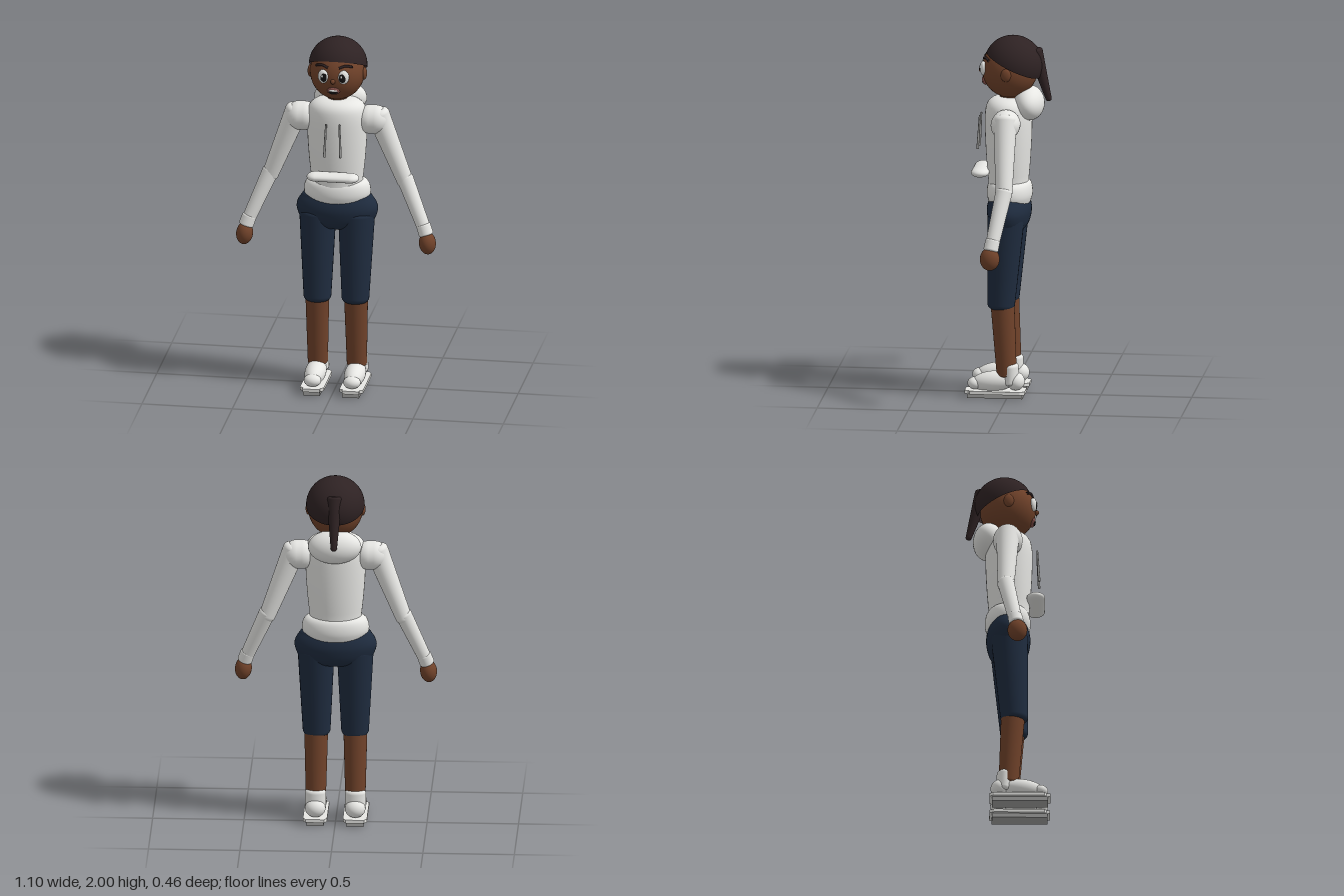
import * as THREE from 'three';

const mat = (name, color) => {
  const m = new THREE.MeshStandardMaterial({ color });
  m.name = name;
  return m;
};

export function createModel() {
  const white = mat('white cloth', 0xe6e6e3);
  const skin = mat('brown skin', 0x70422a);
  const hair = mat('dark hair', 0x2e2223);
  const navy = mat('navy cloth', 0x1f2c3f);
  const grey = mat('sole grey', 0xa2a2a0);
  const black = mat('eye black', 0x141212);
  const lip = mat('lip brown', 0x85504a);

  const model = new THREE.Group();
  model.name = 'figure';

  const add = (name, geo, material, pos = [0, 0, 0], scale = [1, 1, 1], rot = [0, 0, 0], parent = model) => {
    const m = new THREE.Mesh(geo, material);
    m.name = name;
    m.position.set(...pos);
    m.scale.set(...scale);
    m.rotation.set(...rot);
    parent.add(m);
    return m;
  };
  const ball = new THREE.SphereGeometry(1, 32, 22);
  const ellipsoid = (name, material, pos, radii, rot, parent) => add(name, ball, material, pos, radii, rot, parent);

  // Smooth turned body: profile of [radius, y], closed at both ends
  const turned = (name, material, profile, z, depth) => {
    const curve = new THREE.SplineCurve(profile.map(p => new THREE.Vector2(...p)));
    const pts = curve.getPoints(28).map(p => new THREE.Vector2(Math.max(p.x, 0), p.y));
    add(name, new THREE.LatheGeometry(pts, 40), material, [0, 0, z], [1, 1, depth]);
  };

  // Tapered limb from a to b with rounded ends of depth e
  const limb = (name, material, a, b, r0, r1, e, parent) => {
    const from = new THREE.Vector3(...a), dir = new THREE.Vector3(...b).sub(from);
    const len = dir.length(), pts = [], steps = 6;
    for (let i = 0; i <= steps; i++) {
      const t = i / steps * Math.PI / 2;
      pts.push(new THREE.Vector2((r0 - e) * Math.min(1, i) + e * Math.sin(t), e * (1 - Math.cos(t))));
    }
    for (let i = 0; i <= steps; i++) {
      const t = i / steps * Math.PI / 2;
      pts.push(new THREE.Vector2((r1 - e) * (i < steps ? 1 : 0.9) + e * Math.cos(t), len - e * (1 - Math.sin(t))));
    }
    pts.push(new THREE.Vector2(0, len));
    const m = add(name, new THREE.LatheGeometry(pts, 28), material, a, [1, 1, 1], [0, 0, 0], parent);
    m.quaternion.setFromUnitVectors(new THREE.Vector3(0, 1, 0), dir.normalize());
    return m;
  };

  // Head, neck and hair
  limb('neck', skin, [0, 1.58, 0], [0, 1.72, 0], 0.055, 0.055, 0.01);
  ellipsoid('head', skin, [0, 1.815, 0], [0.15, 0.157, 0.153]);
  const cap = new THREE.SphereGeometry(1, 40, 18, 0, Math.PI * 2, 0, Math.PI * 0.51);
  hair.side = THREE.DoubleSide;
  add('hairCap', cap, hair, [0, 1.845, -0.022], [0.16, 0.155, 0.162], [-0.44, 0, 0]);
  limb('ponytail', hair, [0, 1.93, -0.135], [0, 1.64, -0.217], 0.042, 0.017, 0.015);

  // Face
  ellipsoid('nose', skin, [0, 1.805, 0.158], [0.013, 0.014, 0.013]);
  ellipsoid('lips', lip, [0, 1.745, 0.138], [0.036, 0.024, 0.012], [0.4, 0, 0]);
  ellipsoid('mouthOpening', black, [0, 1.741, 0.142], [0.027, 0.014, 0.01], [0.4, 0, 0]);
  ellipsoid('teeth', white, [0, 1.75, 0.145], [0.026, 0.009, 0.009], [0.4, 0, 0]);
  for (const s of [1, -1]) {
    const side = s > 0 ? 'left' : 'right';
    ellipsoid(side + 'Ear', skin, [s * 0.148, 1.81, 0.005], [0.016, 0.036, 0.028]);
    ellipsoid(side + 'Eye', white, [s * 0.057, 1.828, 0.14], [0.03, 0.039, 0.018], [0, s * 0.3, 0]);
    ellipsoid(side + 'Iris', black, [s * 0.053, 1.826, 0.154], [0.02, 0.025, 0.006], [0, s * 0.2, 0]);
    ellipsoid(side + 'EyeGlint', white, [s * 0.053 - 0.006, 1.834, 0.159], [0.006, 0.007, 0.003]);
    const brow = new THREE.CatmullRomCurve3([
      new THREE.Vector3(s * 0.03, 1.878, 0.139),
      new THREE.Vector3(s * 0.065, 1.889, 0.126),
      new THREE.Vector3(s * 0.1, 1.878, 0.104)]);
    add(side + 'Brow', new THREE.TubeGeometry(brow, 10, 0.007, 8), hair);
  }

  // Hoodie
  turned('hoodieBody', white, [[0, 1.1], [0.13, 1.11], [0.142, 1.2], [0.155, 1.32], [0.164, 1.46],
    [0.164, 1.57], [0.145, 1.63], [0.09, 1.66], [0, 1.665]], 0.007, 0.78);
  turned('hoodieHem', white, [[0, 1.05], [0.14, 1.06], [0.178, 1.1], [0.183, 1.145], [0.165, 1.185],
    [0.12, 1.2], [0, 1.2]], 0, 0.68);
  ellipsoid('hood', white, [0, 1.628, -0.107], [0.146, 0.094, 0.083], [0.15, 0, 0]);
  const pill = new THREE.CapsuleGeometry(0.05, 0.19, 10, 24);
  add('frontPocket', pill, white, [0, 1.25, 0.153], [0.5, 1, 1], [0, 0, Math.PI / 2]);

  // Shorts seat
  turned('shortsSeat', navy, [[0, 0.91], [0.13, 0.92], [0.195, 0.955], [0.222, 1.01], [0.222, 1.05],
    [0.2, 1.09], [0.165, 1.112], [0, 1.1]], 0.003, 0.54);

  // Sole outline with stepped corners (x, z)
  const outline = new THREE.Shape([[-0.05, -0.1], [0.05, -0.1], [0.066, -0.075], [0.066, 0.2],
    [0.047, 0.212], [0.047, 0.232], [-0.047, 0.232], [-0.047, 0.212], [-0.066, 0.2], [-0.066, -0.075]]
    .map(p => new THREE.Vector2(p[0], -p[1])));
  const plate = new THREE.ExtrudeGeometry(outline, { depth: 0.018, bevelEnabled: false });
  plate.rotateX(-Math.PI / 2);
  const shoulder = new THREE.CapsuleGeometry(0.08, 0.03, 12, 28);

  for (const s of [1, -1]) {
    const side = s > 0 ? 'left' : 'right';

    // Drawstring
    limb(side + 'Drawstring', grey, [s * 0.037, 1.56, 0.161], [s * 0.045, 1.37, 0.172], 0.005, 0.007, 0.004);

    // Arm
    const arm = new THREE.Group();
    arm.name = side + 'Arm';
    model.add(arm);
    add('shoulder', shoulder, white, [s * 0.196, 1.545, 0], [1, 1, 1], [0, 0, Math.PI / 2], arm);
    limb('upperSleeve', white, [s * 0.215, 1.6, 0], [s * 0.383, 1.165, -0.013], 0.064, 0.045, 0.03, arm);
    limb('lowerSleeve', white, [s * 0.365, 1.225, -0.015], [s * 0.495, 0.92, 0.042], 0.046, 0.037, 0.02, arm);
    limb('cuff', white, [s * 0.479, 0.965, 0.035], [s * 0.5, 0.905, 0.046], 0.04, 0.041, 0.01, arm);
    ellipsoid('hand', skin, [s * 0.506, 0.862, 0.05], [0.046, 0.063, 0.054], [0, 0, s * 0.1], arm);

    // Leg
    const leg = new THREE.Group();
    leg.name = side + 'Leg';
    model.add(leg);
    limb('shortsLeg', navy, [s * 0.107, 1.02, 0.008], [s * 0.105, 0.492, 0.037], 0.101, 0.076, 0.03, leg);
    limb('shin', skin, [s * 0.107, 0.56, 0.03], [s * 0.108, 0.12, 0.004], 0.066, 0.055, 0.01, leg);

    // Shoe
    const shoe = new THREE.Group();
    shoe.name = side + 'Shoe';
    shoe.position.x = s * 0.109;
    model.add(shoe);
    limb('ankleCollar', white, [0, 0.07, -0.02], [0, 0.19, -0.017], 0.058, 0.058, 0.02, shoe).scale.z = 0.75;
    ellipsoid('shoeUpper', white, [0, 0.088, 0.075], [0.058, 0.056, 0.125], [0.1, 0, 0], shoe);
    ellipsoid('toe', white, [0, 0.075, 0.178], [0.048, 0.034, 0.042], [0, 0, 0], shoe);
    ellipsoid('heel', white, [0, 0.09, -0.045], [0.056, 0.05, 0.05], [0, 0, 0], shoe);
    add('soleRim', plate, white, [0, 0.024, 0], [1, 1, 1], [0, 0, 0], shoe);
    add('soleBase', new THREE.BoxGeometry(0.094, 0.026, 0.305), grey, [0, 0.013, 0.066], [1, 1, 1], [0, 0, 0], shoe);
  }
  return model;
}
